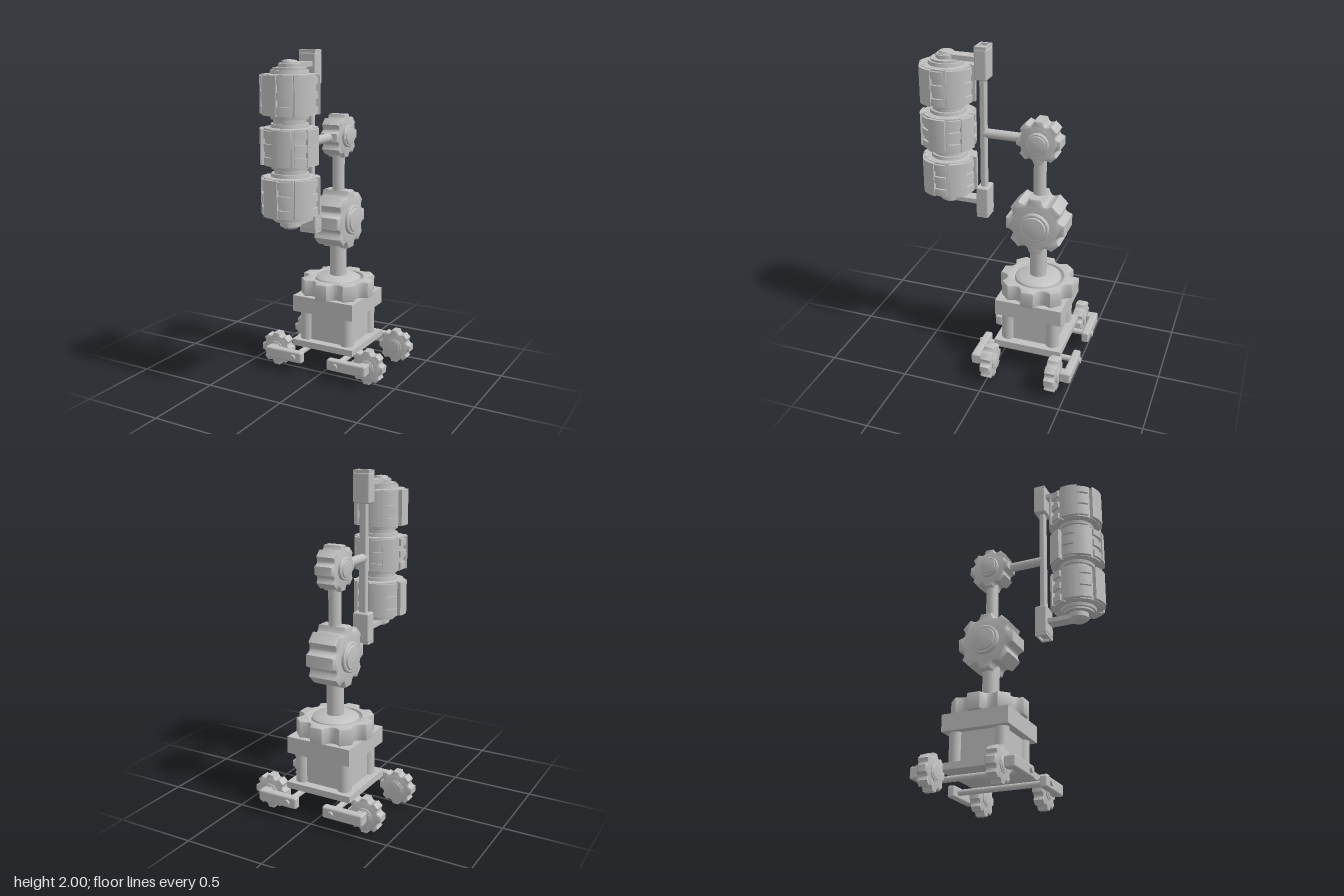
import * as THREE from 'three';
import { toCreasedNormals } from 'three/addons/utils/BufferGeometryUtils.js';
import { RoundedBoxGeometry } from 'three/addons/geometries/RoundedBoxGeometry.js';

const grey = new THREE.MeshStandardMaterial({ color: 0xc0c0c0 });
grey.name = 'grey metal';
const AXIS = -0.205;  // z of the base, column and joints
const DRUM = 0.363;   // z of the drum stack
const rad = THREE.MathUtils.degToRad;

function add(parent, name, geo, x = 0, y = 0, z = 0) {
  const mesh = new THREE.Mesh(geo, grey);
  mesh.name = name;
  mesh.position.set(x, y, z);
  parent.add(mesh);
  return mesh;
}
const box = (w, h, d) => new THREE.BoxGeometry(w, h, d);
const rod = (r, h) => new THREE.CylinderGeometry(r, r, h, 28);
const lathe = (pts) =>
  toCreasedNormals(new THREE.LatheGeometry(pts.map((p) => new THREE.Vector2(...p)), 40), 0.6);

// Eight flat-tipped teeth with scooped valleys, centred on z
function gearGeometry(R, thick, hole = 0) {
  const bevel = thick * 0.08, r = R - bevel, half = rad(8.5);
  const at = (a, k = 1) => [r * k * Math.cos(a), r * k * Math.sin(a)];
  const shape = new THREE.Shape();
  shape.moveTo(...at(-half));
  for (let i = 0; i < 8; i++) {
    const a = (i * Math.PI) / 4;
    shape.lineTo(...at(a + half));
    shape.quadraticCurveTo(...at(a + Math.PI / 8, 0.66), ...at(a + Math.PI / 4 - half));
  }
  if (hole) shape.holes.push(new THREE.Path().absarc(0, 0, hole, 0, Math.PI * 2, true));
  const geo = new THREE.ExtrudeGeometry(shape, {
    depth: thick - 2 * bevel, bevelThickness: bevel, bevelSize: bevel, bevelSegments: 2, curveSegments: 14,
  });
  geo.translate(0, 0, bevel - thick / 2);
  return toCreasedNormals(geo, 0.6);
}

// Gear with a stepped, domed hub on both faces; its axis is z
function hubGear(name, R, thick, hubR, hubH) {
  const g = new THREE.Group();
  g.name = name;
  add(g, 'teeth', gearGeometry(R, thick));
  for (const s of [1, -1]) {
    const hub = add(g, 'hub', lathe([[hubR, -0.01], [hubR, hubH * 0.45], [hubR * 0.92, hubH * 0.6],
      [hubR * 0.8, hubH * 0.6], [hubR * 0.76, hubH * 0.85], [hubR * 0.45, hubH * 0.97], [0, hubH]]), 0, 0, s * thick / 2);
    hub.rotation.x = s * Math.PI / 2;
  }
  return g;
}

// Curved block between two radii and two angles (0 = front, positive = +x)
function sector(r0, r1, a0, a1, h) {
  const p = rad(a0 - 90), q = rad(a1 - 90);
  const s = new THREE.Shape();
  s.absarc(0, 0, r1, p, q, false);
  s.absarc(0, 0, r0, q, p, true);
  const geo = new THREE.ExtrudeGeometry(s, { depth: h, bevelEnabled: false, curveSegments: 6 });
  geo.translate(0, 0, -h / 2);
  geo.rotateX(-Math.PI / 2);
  return toCreasedNormals(geo, 0.5);
}

function drum(y, h, mirror) {
  const g = new THREE.Group();
  g.name = 'drum';
  g.position.set(0, y, DRUM);
  const b = h / 2;
  add(g, 'drumBody', lathe([[0, -b], [0.105, -b], [0.108, -b + 0.02], [0.128, -b + 0.022], [0.135, -b + 0.045],
    [0.135, b - 0.045], [0.128, b - 0.022], [0.108, b - 0.02], [0.105, b], [0, b]]));
  // Five armour plates, each a strip with three fingers
  const span = (r0, r1, a0, a1, hh) => mirror ? sector(r0, r1, -a1, -a0, hh) : sector(r0, r1, a0, a1, hh);
  const H = h - 0.045;
  for (let i = 0; i < 5; i++) {
    const plate = new THREE.Group();
    plate.name = 'armourPlate';
    plate.rotation.y = (i * Math.PI * 2) / 5;
    add(plate, 'plateBase', span(0.12, 0.147, -32, 37, H));
    add(plate, 'plateStrip', span(0.13, 0.167, -32, 5, H - 0.006));
    for (const k of [-1, 0, 1])
      add(plate, 'plateFinger', span(0.13, 0.161, 5, 31, 0.042), 0, k * (H / 2 - 0.03), 0);
    g.add(plate);
  }
  return g;
}

// Clamp block: rounded box with a framed recess at its outer end
function clamp(parent, y, dir) {
  const g = new THREE.Group();
  g.name = 'clampBlock';
  g.position.set(0, y, 0.14);
  g.scale.y = 1;
  add(g, 'block', new RoundedBoxGeometry(0.11, 0.18, 0.076, 2, 0.01), 0, -dir * 0.007, 0);
  for (const s of [1, -1]) {
    add(g, 'rim', box(0.016, 0.02, 0.07), s * 0.045, dir * 0.088, 0);
    add(g, 'rim', box(0.076, 0.02, 0.012), 0, dir * 0.088, s * 0.029);
  }
  parent.add(g);
}

export function createModel() {
  const model = new THREE.Group();
  model.name = 'wheeledArmRobot';

  // Base
  add(model, 'basePlate', box(0.428, 0.04, 0.428), 0, 0.17, AXIS);
  add(model, 'baseCore', box(0.32, 0.2, 0.32), 0, 0.283, AXIS);
  add(model, 'baseTop', box(0.418, 0.103, 0.418), 0, 0.428, AXIS);
  for (const x of [-1, 1]) for (const z of [-1, 1])
    add(model, 'cornerPost', rod(0.042, 0.2), x * 0.143, 0.283, AXIS + z * 0.143);

  // Turntable
  add(model, 'turntableGear', gearGeometry(0.232, 0.105, 0.165), 0, 0.53, AXIS).rotation.x = -Math.PI / 2;
  add(model, 'turntableDish', lathe([[0.168, 0.582], [0.145, 0.562], [0.14, 0.578], [0.115, 0.595], [0, 0.597]]), 0, 0, AXIS);

  // Column and joints
  add(model, 'lowerColumn', rod(0.052, 0.36), 0, 0.74, AXIS);
  add(model, 'upperColumn', rod(0.038, 0.5), 0, 1.22, AXIS);
  const elbow = hubGear('elbowGear', 0.184, 0.188, 0.092, 0.035);
  elbow.position.set(0, 0.96, AXIS);
  const wrist = hubGear('wristGear', 0.133, 0.118, 0.066, 0.03);
  wrist.position.set(0, 1.477, AXIS);
  for (const j of [elbow, wrist]) { j.rotation.y = Math.PI / 2; model.add(j); }

  // Reaching arm and the frame that holds the drums
  add(model, 'reachArm', rod(0.028, 0.3), 0, 1.477, -0.01).rotation.x = Math.PI / 2;
  add(model, 'frameBar', new RoundedBoxGeometry(0.05, 0.85, 0.036, 2, 0.01), 0, 1.47, 0.142);
  clamp(model, 1.902, 1);
  clamp(model, 1.045, -1);
  for (const y of [1.922, 1.042]) {
    add(model, 'bracket', box(0.078, 0.028, 0.21), 0, y, 0.258);
    add(model, 'bracketEnd', rod(0.055, 0.028), 0, y, DRUM);
  }

  // Drum stack
  add(model, 'drumSpine', rod(0.092, 0.85), 0, 1.485, DRUM);
  add(model, 'topCap', lathe([[0.062, 1.9], [0.062, 1.93], [0.045, 1.935], [0.04, 1.948], [0, 1.954]]), 0, 0, DRUM);
  add(model, 'bottomCap', lathe([[0, 1.012], [0.04, 1.016], [0.05, 1.026], [0.06, 1.03], [0.06, 1.07]]), 0, 0, DRUM);
  model.add(drum(1.765, 0.265, false), drum(1.483, 0.25, true), drum(1.203, 0.262, false));

  // Axles, link arms and toothed wheels
  for (const sx of [-1, 1]) {
    add(model, 'axle', rod(0.018, 0.662), sx * 0.148, 0.113, AXIS).rotation.x = Math.PI / 2;
    for (const sz of [-1, 1]) {
      add(model, 'linkArm', new RoundedBoxGeometry(0.262, 0.072, 0.048, 2, 0.012), sx * 0.22, 0.113, AXIS + sz * 0.293);
      add(model, 'linkFoot', new RoundedBoxGeometry(0.058, 0.068, 0.05, 2, 0.01), sx * 0.321, 0.113, AXIS + sz * 0.273);
      add(model, 'wheelPin', rod(0.018, 0.09), sx * 0.321, 0.108, AXIS + sz * 0.235).rotation.x = Math.PI / 2;
      const wheel = hubGear('wheel', 0.108, 0.064, 0.05, 0.012);
      wheel.position.set(sx * 0.321, 0.108, AXIS + sz * 0.203);
      model.add(wheel);
    }
  }
  return model;
}
